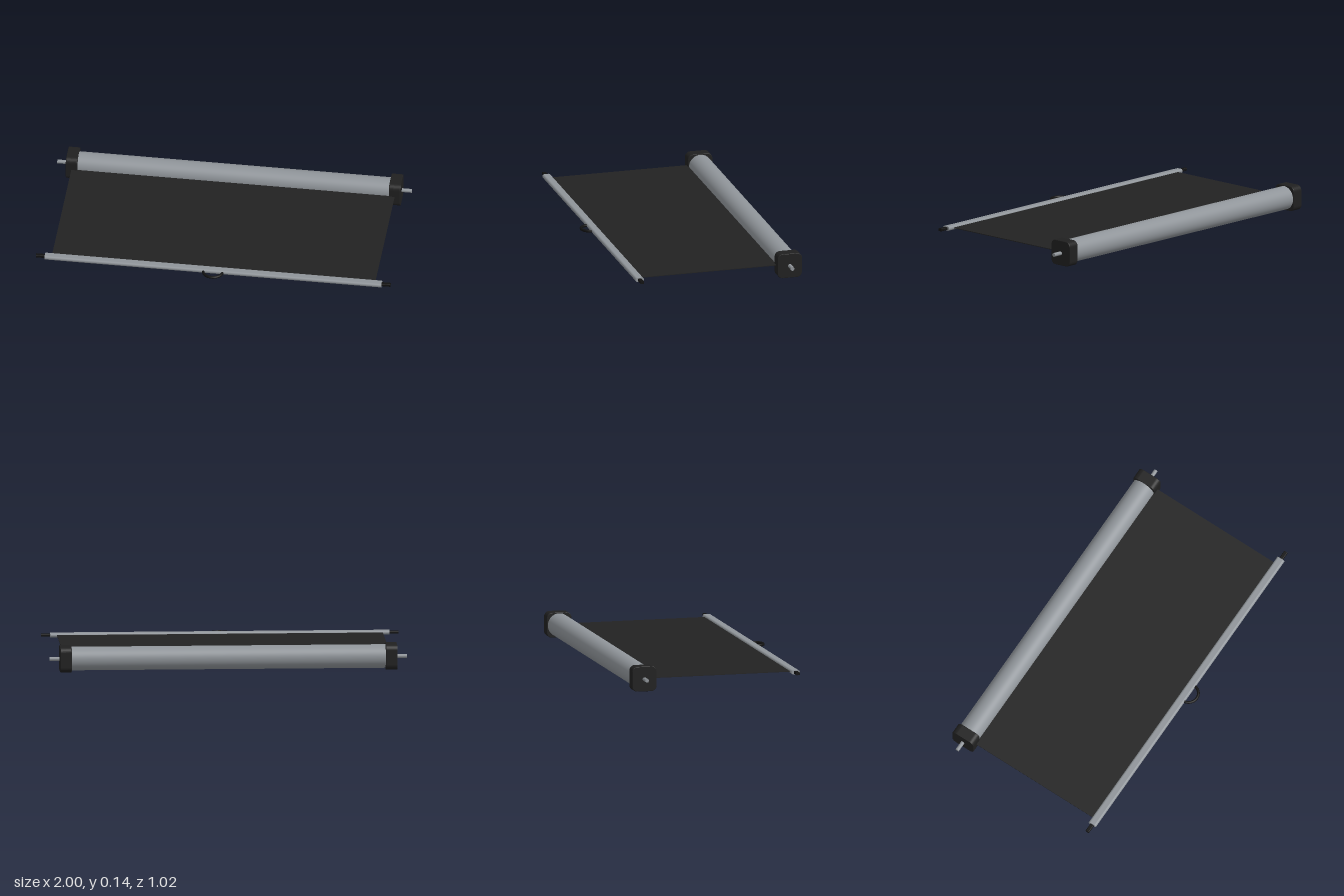
import * as THREE from 'three';

const Y = 0.07;         // height of the cover sheet
const ROLLER_Z = -0.44; // roller axis
const BAR_Z = 0.434;    // pull bar axis

function material(name, color) {
  const m = new THREE.MeshStandardMaterial({ color });
  m.name = name;
  return m;
}

// Rounded rectangle (w along z, h along y) extruded along x, centred on the origin
function roundedBar(w, h, r, length, bevel = 0) {
  const a = w / 2 - bevel, b = h / 2 - bevel, c = r - bevel;
  const s = new THREE.Shape();
  s.moveTo(a, b - c);
  s.absarc(a - c, b - c, c, 0, Math.PI / 2);
  s.absarc(-a + c, b - c, c, Math.PI / 2, Math.PI);
  s.absarc(-a + c, -b + c, c, Math.PI, Math.PI * 1.5);
  s.absarc(a - c, -b + c, c, Math.PI * 1.5, Math.PI * 2);
  const depth = length - 2 * bevel;
  const g = new THREE.ExtrudeGeometry(s, {
    depth, curveSegments: 8, bevelEnabled: bevel > 0,
    bevelSize: bevel, bevelThickness: bevel, bevelSegments: 2,
  });
  return g.translate(0, 0, -depth / 2).rotateY(Math.PI / 2);
}

export function createModel() {
  const model = new THREE.Group();
  model.name = 'retractableCover';

  const aluminium = material('aluminium', 0x8f9499);
  const plastic = material('black plastic', 0x202020);
  const fabric = material('dark fabric', 0x222222);
  const rubber = material('black rubber', 0x111111);

  const add = (name, geometry, mat, x, y, z) => {
    const mesh = new THREE.Mesh(geometry, mat);
    mesh.name = name;
    mesh.position.set(x, y, z);
    model.add(mesh);
    return mesh;
  };

  // Roller housing
  const tube = new THREE.CylinderGeometry(0.066, 0.066, 1.8, 48).rotateZ(Math.PI / 2);
  add('rollerTube', tube, aluminium, 0, 0.071, ROLLER_Z);

  // Pulled-out sheet
  add('coverSheet', new THREE.BoxGeometry(1.824, 0.004, 0.87), fabric, 0, Y, -0.01);

  // Pull bar with fully rounded edges
  add('pullBar', roundedBar(0.048, 0.024, 0.0119, 1.9), aluminium, 0, Y, BAR_Z);

  // Mirrored end parts
  const cap = roundedBar(0.142, 0.142, 0.03, 0.065, 0.003);
  const pin = new THREE.CylinderGeometry(0.011, 0.011, 0.07, 16).rotateZ(Math.PI / 2);
  const tip = roundedBar(0.022, 0.016, 0.004, 0.06);
  for (const [side, label] of [[1, 'left'], [-1, 'right']]) {
    add(label + 'EndCap', cap, plastic, side * 0.9115, 0.071, ROLLER_Z);
    add(label + 'MountingPin', pin, aluminium, side * 0.965, Y, ROLLER_Z);
    add(label + 'BarTip', tip, rubber, side * 0.97, Y, BAR_Z);
  }

  // Half-ring pull handle
  const ring = new THREE.TorusGeometry(0.055, 0.008, 10, 32, Math.PI).rotateX(Math.PI / 2);
  add('pullHandle', ring, rubber, 0, Y, 0.447);

  return model;
}
